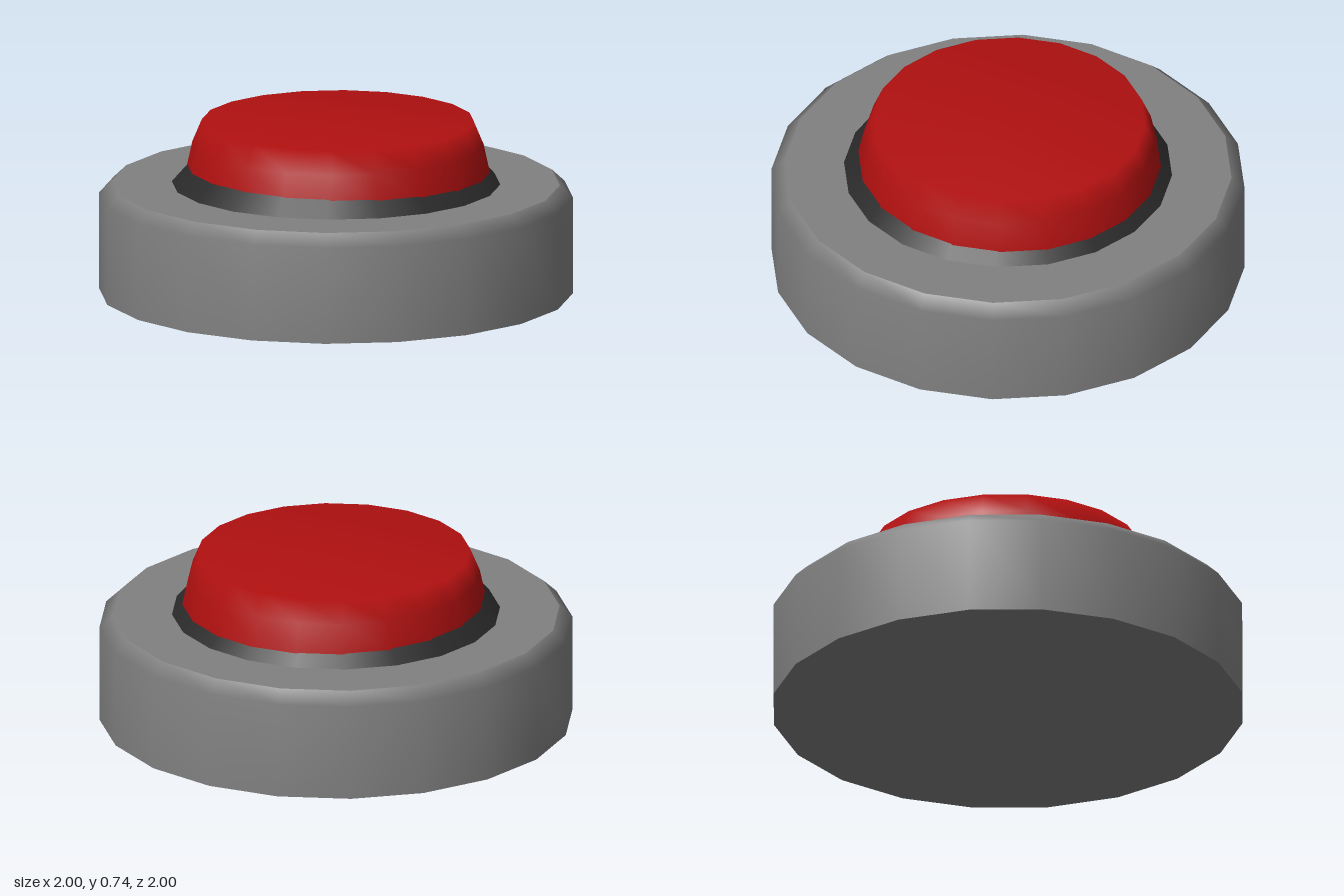
import * as THREE from 'three';
import { mergeGeometries } from 'three/addons/utils/BufferGeometryUtils.js';

const SIDES = 20;

// Each band is a smooth [radius, height] profile; edges between bands stay sharp.
function turned(name, color, bands) {
  const parts = bands.map((band) =>
    new THREE.LatheGeometry(band.map(([r, y]) => new THREE.Vector2(r, y)), SIDES));
  const mesh = new THREE.Mesh(mergeGeometries(parts), new THREE.MeshStandardMaterial({ color }));
  mesh.name = name;
  return mesh;
}

export function createModel() {
  const group = new THREE.Group();
  group.name = 'pushButton';

  // Housing: flat underside, straight wall with a softened chamfer, flat top
  group.add(turned('base', 0x808080, [
    [[0, 0], [1, 0]],
    [[1, 0], [1, 0.415], [0.945, 0.467]],
    [[0.945, 0.467], [0, 0.467]],
  ]));

  // Dark sloping collar around the plunger
  group.add(turned('collar', 0x2a2a2a, [
    [[0.695, 0.465], [0.6, 0.572]],
    [[0.6, 0.572], [0, 0.572]],
  ]));

  // Red plunger, softly rounded and set very slightly off centre
  const cap = turned('buttonCap', 0xb01010, [
    [[0.65, 0.475], [0.64, 0.525], [0.615, 0.64], [0.575, 0.735], [0, 0.735]],
  ]);
  cap.position.x = 0.01;
  group.add(cap);

  return group;
}
